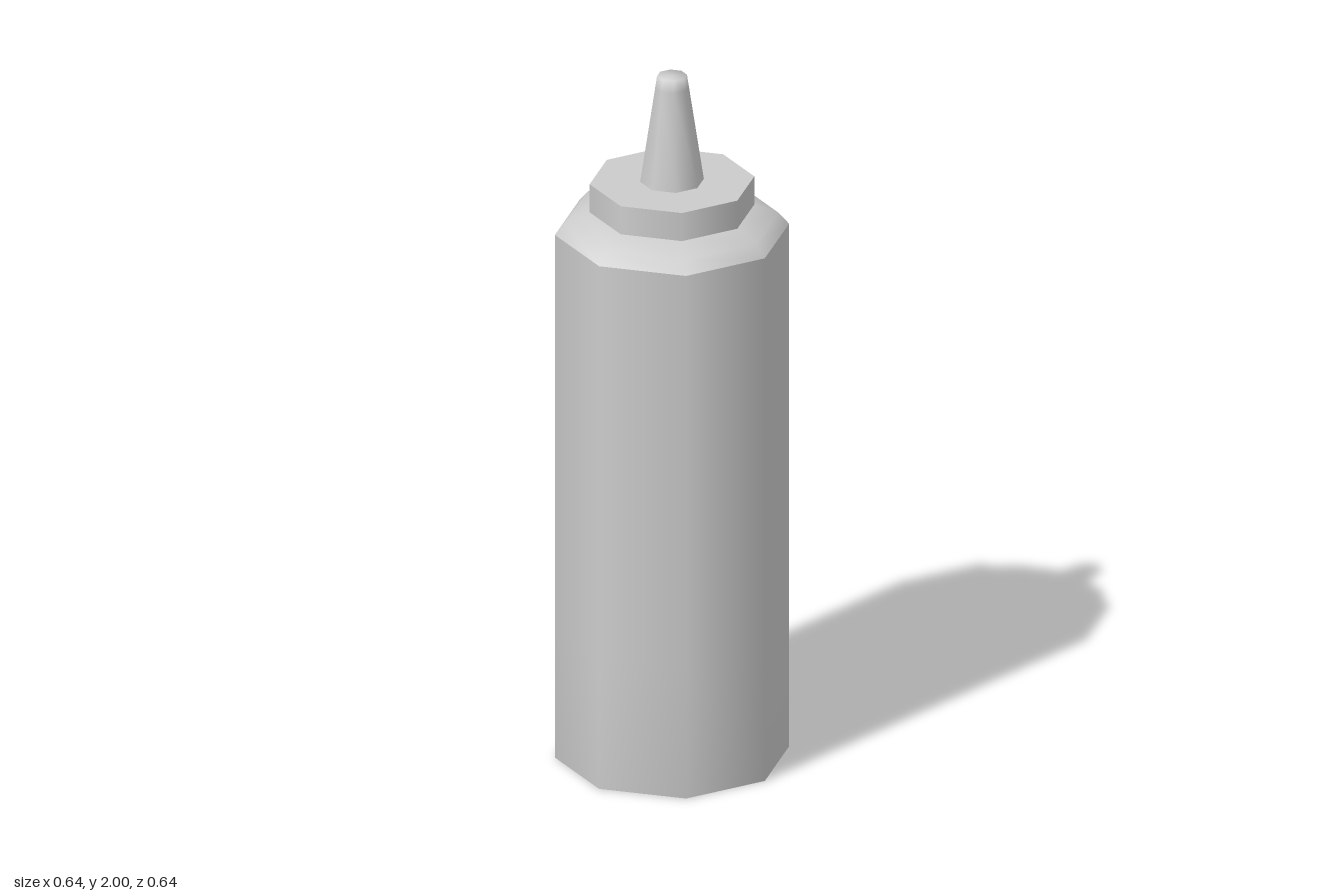
import * as THREE from 'three';

const SIDES = 8;

// Revolves a profile of [radius, height] pairs; normals are smooth within one profile.
function turned(name, profile, material) {
  const points = profile.map(([r, y]) => new THREE.Vector2(r, y));
  const mesh = new THREE.Mesh(new THREE.LatheGeometry(points, SIDES), material);
  mesh.name = name;
  return mesh;
}

export function createModel() {
  const group = new THREE.Group();
  group.name = 'squeezeBottle';
  const grey = new THREE.MeshStandardMaterial({ color: 0xcccccc });

  // Body: recessed base, softened rim and straight wall
  group.add(turned('baseFloor', [[0, 0.06], [0.28, 0.06]], grey));
  group.add(turned('baseRecess', [[0.28, 0.06], [0.3, 0]], grey));
  group.add(turned('bodyWall', [[0.3, 0], [0.32, 0], [0.32, 0.38], [0.32, 1.545]], grey));
  group.add(turned('shoulder', [[0.32, 1.545], [0.29, 1.58], [0.225, 1.607], [0.2, 1.61]], grey));

  // Screw cap
  group.add(turned('capWall', [[0.225, 1.605], [0.225, 1.69]], grey));
  group.add(turned('capTop', [[0.225, 1.69], [0, 1.69]], grey));

  // Tapered nozzle with a softly shaded tip
  group.add(turned('nozzle', [[0.087, 1.69], [0.046, 1.966], [0.041, 2], [0, 2]], grey));

  return group;
}
